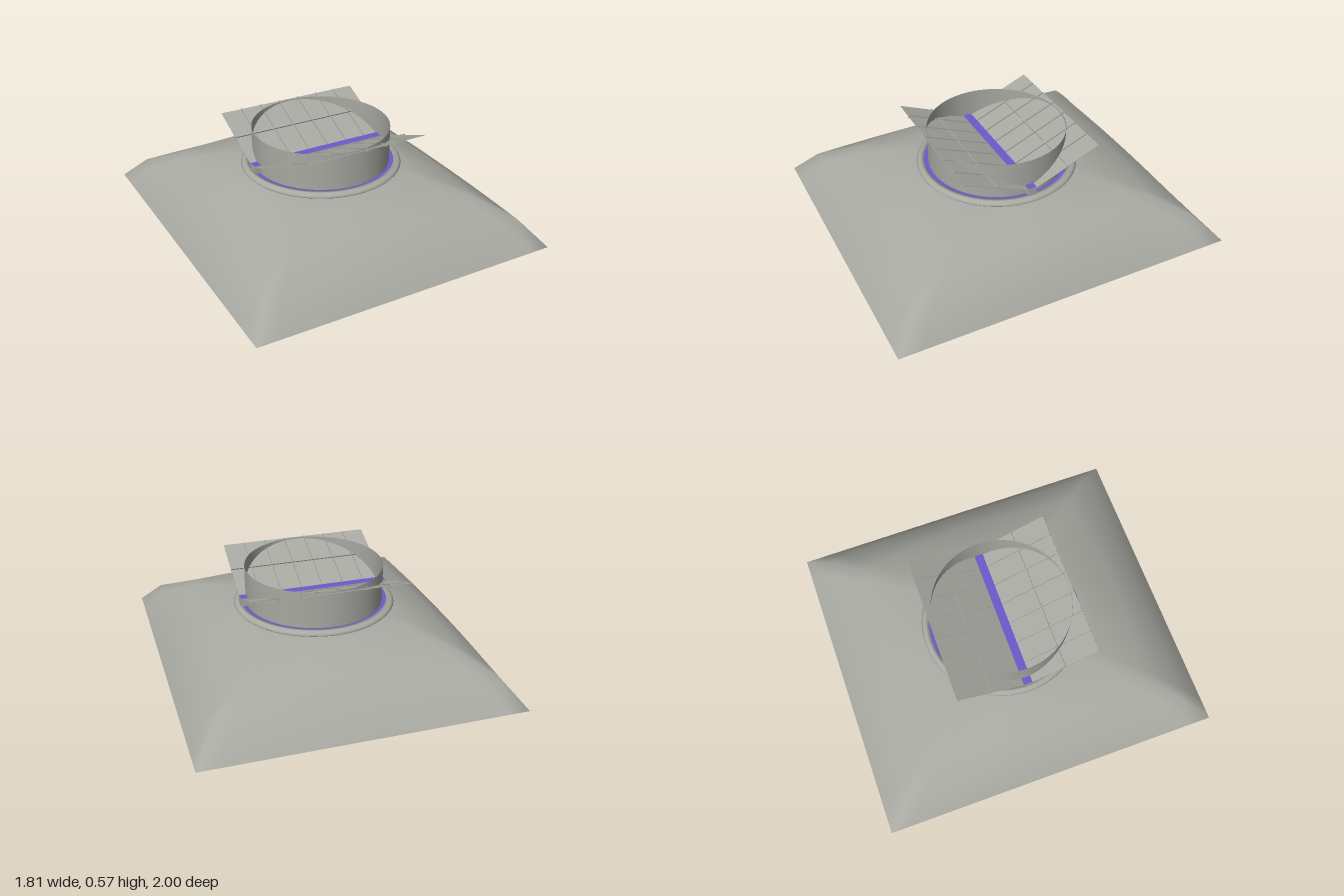
import * as THREE from 'three';

const grey = new THREE.MeshStandardMaterial({ color: 0xa9a9a3, side: THREE.DoubleSide });
grey.name = 'sheet grey';
const violet = new THREE.MeshStandardMaterial({ color: 0x6a5acd, side: THREE.DoubleSide });
violet.name = 'seal violet';

function part(name, geometry, material, parent) {
  const mesh = new THREE.Mesh(geometry, material);
  mesh.name = name;
  parent.add(mesh);
  return mesh;
}

// Hood skin: cross-sections that blend a rectangle into a circle
function hoodGeometry() {
  const W = 0.905, D = 1, R = 0.44, n = 16, count = n * 4;
  const rows = [[0, 0], [0.2, 0.143], [0.49, 0.24], [0.84, 0.315], [1, 0.332]]; // blend, height
  const corners = [[W, D], [W, -D], [-W, -D], [-W, D]];
  const positions = [], index = [];
  rows.forEach(([t, y], r) => {
    for (let i = 0; i < count; i++) {
      const side = Math.floor(i / n), f = (i % n) / n;
      const a = corners[side], b = corners[(side + 1) % 4];
      const angle = Math.PI / 4 - (side + f) * Math.PI / 2;
      const x = a[0] + (b[0] - a[0]) * f, z = a[1] + (b[1] - a[1]) * f;
      positions.push(
        x + (R * Math.cos(angle) - x) * t, y,
        z + (R * Math.sin(angle) - z) * t);
      if (r < rows.length - 1) {
        const p = r * count + i, q = r * count + (i + 1) % count;
        index.push(p, q, q + count, p, q + count, p + count);
      }
    }
  });
  const g = new THREE.BufferGeometry();
  g.setAttribute('position', new THREE.Float32BufferAttribute(positions, 3));
  g.setIndex(index);
  g.computeVertexNormals();
  return g;
}

// Damper flap: a plate with thin ribs, lying along +z from its hinge edge
function makeFlap(name) {
  const flap = new THREE.Group();
  flap.name = name;
  const width = 0.88, length = 0.42, columns = 7;
  part('flapPlate', new THREE.BoxGeometry(width, 0.003, length), grey, flap).position.z = length / 2;
  for (let i = 1; i < columns; i++) {
    const rib = part('flapRib', new THREE.BoxGeometry(0.002, 0.018, length), grey, flap);
    rib.position.set(-width / 2 + i * width / columns, 0, length / 2);
  }
  part('flapCrossRib', new THREE.BoxGeometry(width, 0.018, 0.003), grey, flap).position.z = length / 2;
  return flap;
}

export function createModel() {
  const model = new THREE.Group();
  model.name = 'ventHood';

  part('hood', hoodGeometry(), grey, model);

  // Rounded flange around the outlet
  const profile = [[0.425, 0.33], [0.462, 0.33], [0.468, 0.337], [0.46, 0.347], [0.445, 0.357], [0.425, 0.358], [0.425, 0.33]];
  part('flange', new THREE.LatheGeometry(profile.map(p => new THREE.Vector2(...p)), 64), grey, model);

  // Seal between the flange and the collar
  const seal = part('seal', new THREE.RingGeometry(0.395, 0.427, 64), violet, model);
  seal.rotation.x = -Math.PI / 2;
  seal.position.y = 0.35;

  // Outlet collar
  const collar = part('collar', new THREE.CylinderGeometry(0.4, 0.4, 0.225, 64, 1, true), grey, model);
  collar.position.y = 0.452;

  // Hinge bar with violet top and bottom
  const bar = part('hingeBar', new THREE.BoxGeometry(0.88, 0.05, 0.05),
    [grey, grey, violet, violet, grey, grey], model);
  bar.position.y = 0.383;

  // Two flaps raised in a V
  for (const s of [1, -1]) {
    const pivot = new THREE.Group();
    pivot.name = s > 0 ? 'frontFlapPivot' : 'backFlapPivot';
    pivot.rotation.y = s > 0 ? 0 : Math.PI;
    const flap = makeFlap(s > 0 ? 'frontFlap' : 'backFlap');
    flap.position.set(0, 0.4, 0.027);
    flap.rotation.x = -0.395;
    pivot.add(flap);
    model.add(pivot);
  }
  return model;
}
